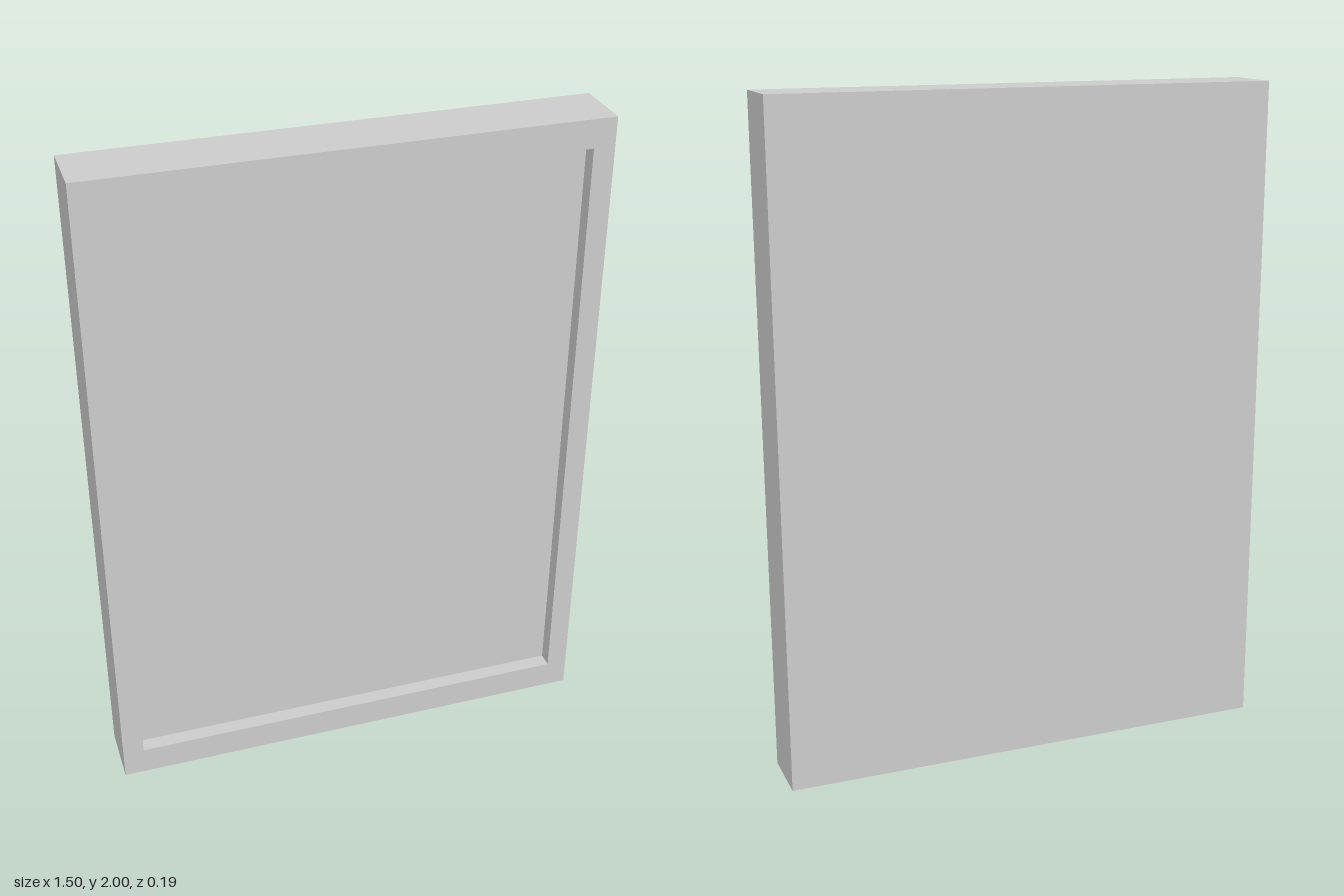
import * as THREE from 'three';

const W = 1.5, H = 2, D = 0.188;         // outer size
const IN_W = 1.372, Y0 = 0.087, Y1 = 1.915; // front opening
const RECESS = 0.046;

// Four corners of a rectangle, counter-clockwise seen from the front
const ring = (w, y0, y1, z) => [[-w / 2, y0, z], [w / 2, y0, z], [w / 2, y1, z], [-w / 2, y1, z]];

// Flat-sided skin over a row of four-cornered rings
function skinRings(rings) {
  const pos = [];
  for (let r = 0; r < rings.length - 1; r++) {
    for (let i = 0; i < 4; i++) {
      const j = (i + 1) % 4;
      const a = rings[r][i], b = rings[r][j], c = rings[r + 1][j], d = rings[r + 1][i];
      pos.push(...a, ...b, ...c, ...a, ...c, ...d);
    }
  }
  const geo = new THREE.BufferGeometry();
  geo.setAttribute('position', new THREE.Float32BufferAttribute(pos, 3));
  geo.computeVertexNormals();
  return geo;
}

export function createModel() {
  const group = new THREE.Group();
  group.name = 'shallowFramedPanel';
  const material = new THREE.MeshStandardMaterial({ color: 0xcccccc, flatShading: true });
  const add = (name, geo) => {
    const mesh = new THREE.Mesh(geo, material);
    mesh.name = name;
    group.add(mesh);
    return mesh;
  };

  // Frame: outer sides, front rim and recess walls
  add('frame', skinRings([
    ring(W, 0, H, -D / 2),
    ring(W, 0, H, D / 2),
    ring(IN_W, Y0, Y1, D / 2),
    ring(IN_W, Y0, Y1, D / 2 - RECESS),
  ]));

  // Recessed front panel
  add('frontPanel', new THREE.PlaneGeometry(IN_W, Y1 - Y0))
    .position.set(0, (Y0 + Y1) / 2, D / 2 - RECESS);

  // Flat back closing the frame
  const back = add('backPanel', new THREE.PlaneGeometry(W, H));
  back.position.set(0, H / 2, -D / 2);
  back.rotation.y = Math.PI;

  return group;
}
